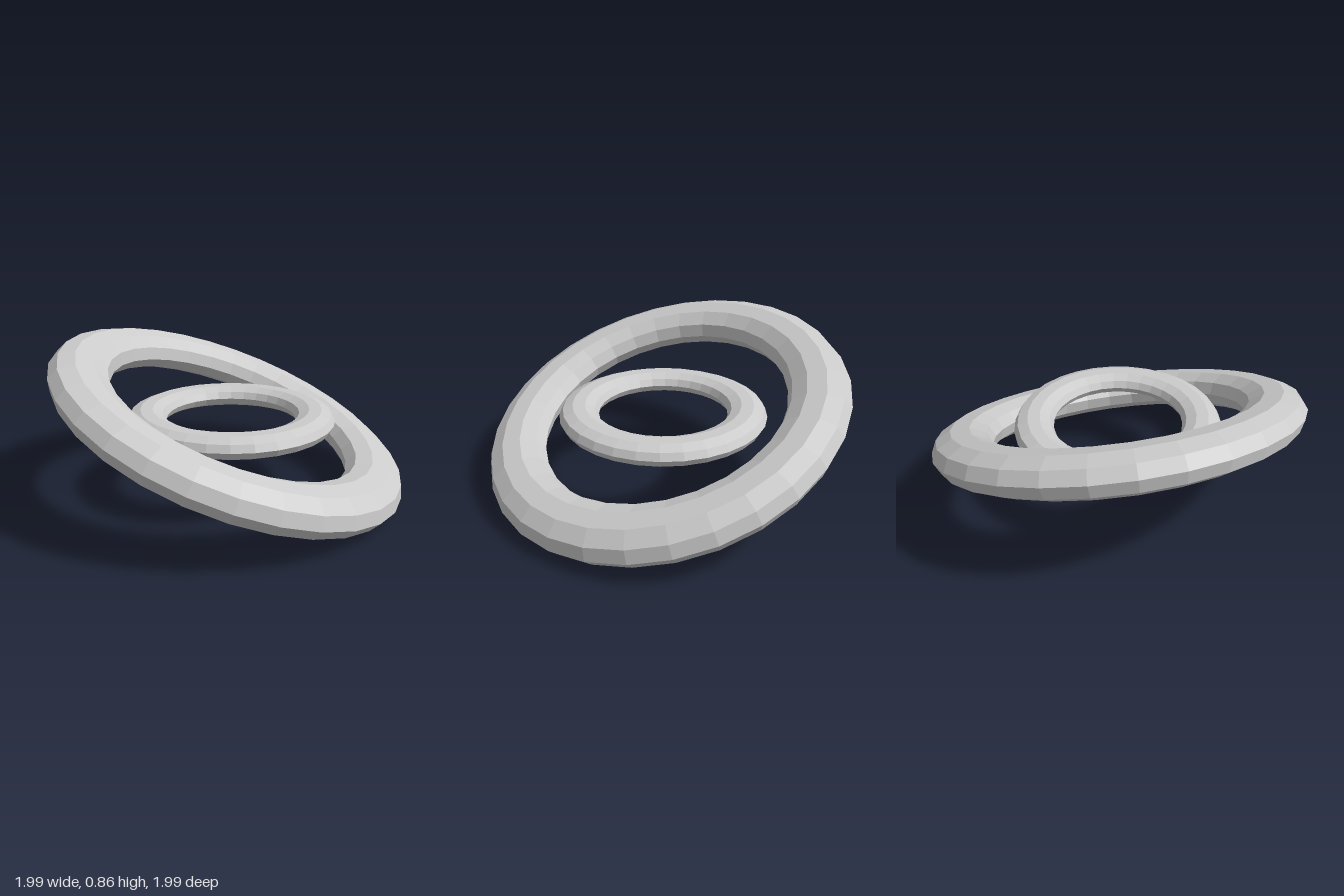
import * as THREE from 'three';

const material = new THREE.MeshStandardMaterial({ color: 0xcccccc, flatShading: true });
const CENTER_Y = 0.435;

// Horizontal ring with an elliptical, ten-sided cross-section
function makeRing(name, radius, halfWidth, halfHeight) {
  const geometry = new THREE.TorusGeometry(radius, halfWidth, 10, 30);
  geometry.rotateX(Math.PI / 2);
  geometry.scale(1, halfHeight / halfWidth, 1);
  const ring = new THREE.Mesh(geometry, material);
  ring.name = name;
  ring.position.y = CENTER_Y;
  return ring;
}

export function createModel() {
  const model = new THREE.Group();
  model.name = 'nestedRings';

  // Level inner ring
  model.add(makeRing('innerRing', 0.47, 0.11, 0.064));

  // Large outer ring, tipped down towards the front and the left
  const outer = makeRing('outerRing', 0.864, 0.166, 0.112);
  outer.rotation.set(0.265, 0, -0.265);
  model.add(outer);

  return model;
}
